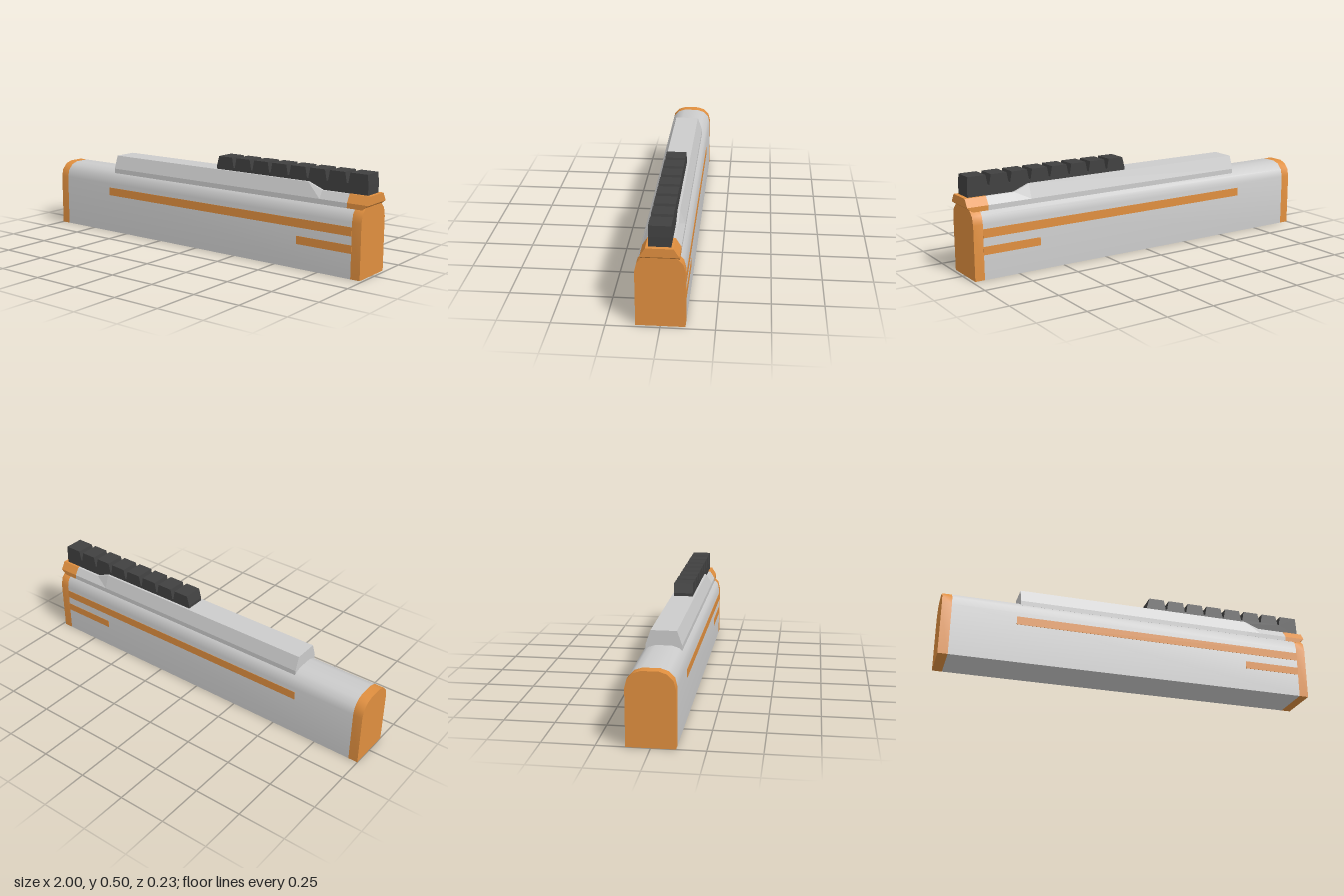
import * as THREE from 'three';
import { toCreasedNormals } from 'three/addons/utils/BufferGeometryUtils.js';

const grey = new THREE.MeshStandardMaterial({ color: 0xcccccc });
const orange = new THREE.MeshStandardMaterial({ color: 0xe08f3f });
const black = new THREE.MeshStandardMaterial({ color: 0x404040 });

// Mirrors a half outline [z, y] (bottom to top) into a ring, counter-clockwise seen from +x
const ring = (half) => [
  ...half.map(([z, y]) => [-z, y]),
  ...half.slice().reverse(),
];

// Skins rings placed at stations along x, with flat ends
function loft(stations, crease) {
  const pos = [];
  const rings = stations.map(([x, half]) => ring(half).map(([z, y]) => [x, y, z]));
  const n = rings[0].length;
  const tri = (a, b, c) => pos.push(...a, ...b, ...c);
  for (let i = 0; i < rings.length - 1; i++) {
    const a = rings[i], b = rings[i + 1];
    for (let j = 0; j < n; j++) {
      const k = (j + 1) % n;
      tri(a[j], a[k], b[k]);
      tri(a[j], b[k], b[j]);
    }
  }
  const first = rings[0], last = rings[rings.length - 1];
  for (let j = 1; j < n - 1; j++) {
    tri(first[0], first[j + 1], first[j]);
    tri(last[0], last[j], last[j + 1]);
  }
  const g = new THREE.BufferGeometry();
  g.setAttribute('position', new THREE.Float32BufferAttribute(pos, 3));
  return toCreasedNormals(g, crease);
}

export function createModel() {
  const model = new THREE.Group();
  model.name = 'slideAssembly';
  const add = (name, geometry, material) => {
    const mesh = new THREE.Mesh(geometry, material);
    mesh.name = name;
    model.add(mesh);
    return mesh;
  };

  // Long body with a rounded top, and its two end bands
  const bodyHalf = [[0.114, 0], [0.114, 0.275], [0.104, 0.316], [0.076, 0.345], [0.04, 0.357]];
  const bodyPiece = (x0, x1) => loft([[x0, bodyHalf], [x1, bodyHalf]], 0.8);
  add('body', bodyPiece(-0.95, 0.935), grey);
  add('rearBand', bodyPiece(-1, -0.95), orange);
  add('frontBand', bodyPiece(0.935, 0.985), orange);

  // Tapered upper cover, stepping down towards the front
  const coverHalf = (bottom, top) => [[0.088, bottom], [0.088, 0.358], [0.063, top]];
  add('upperCover', loft([
    [-0.6, coverHalf(0.333, 0.429)],
    [0.66, coverHalf(0.333, 0.429)],
    [0.74, coverHalf(0.333, 0.397)],
    [0.89, coverHalf(0.333, 0.397)],
  ], 0.1), grey);

  // Cover tip with a chamfered lower lip
  add('coverTip', loft([
    [0.89, coverHalf(0.333, 0.398)],
    [0.97, coverHalf(0.333, 0.398)],
    [1.0, coverHalf(0.356, 0.398)],
  ], 0.1), orange);

  // Toothed top rail
  const start = 0.095, end = 0.98, count = 8, pitch = (end - start) / count;
  const rail = new THREE.Shape();
  rail.moveTo(start, 0.425);
  rail.lineTo(0.66, 0.425);
  rail.lineTo(0.74, 0.395);
  rail.lineTo(end, 0.395);
  for (let i = count - 1; i >= 0; i--) {
    const x0 = start + i * pitch, x1 = x0 + pitch;
    const isLast = i === count - 1;
    rail.lineTo(isLast ? end : x1 - 0.004, 0.445);
    rail.lineTo(isLast ? end - 0.004 : x1 - 0.014, 0.497);
    rail.lineTo(x0 + 0.014, 0.497);
    rail.lineTo(x0 + (i ? 0.004 : 0), 0.445);
  }
  const railGeometry = new THREE.ExtrudeGeometry(rail, { depth: 0.102, bevelEnabled: false });
  railGeometry.translate(0, 0, -0.051);
  add('topRail', railGeometry, black);

  // Thin stripes on both flanks
  for (const side of [1, -1]) {
    const label = side > 0 ? 'Front' : 'Back';
    for (const [name, x0, y0, y1] of [['longStripe', -0.62, 0.208, 0.252], ['shortStripe', 0.63, 0.124, 0.165]]) {
      const stripe = add(name + label, new THREE.BoxGeometry(0.936 - x0, y1 - y0, 0.004), orange);
      stripe.position.set((x0 + 0.936) / 2, (y0 + y1) / 2, side * 0.1135);
    }
  }
  return model;
}
